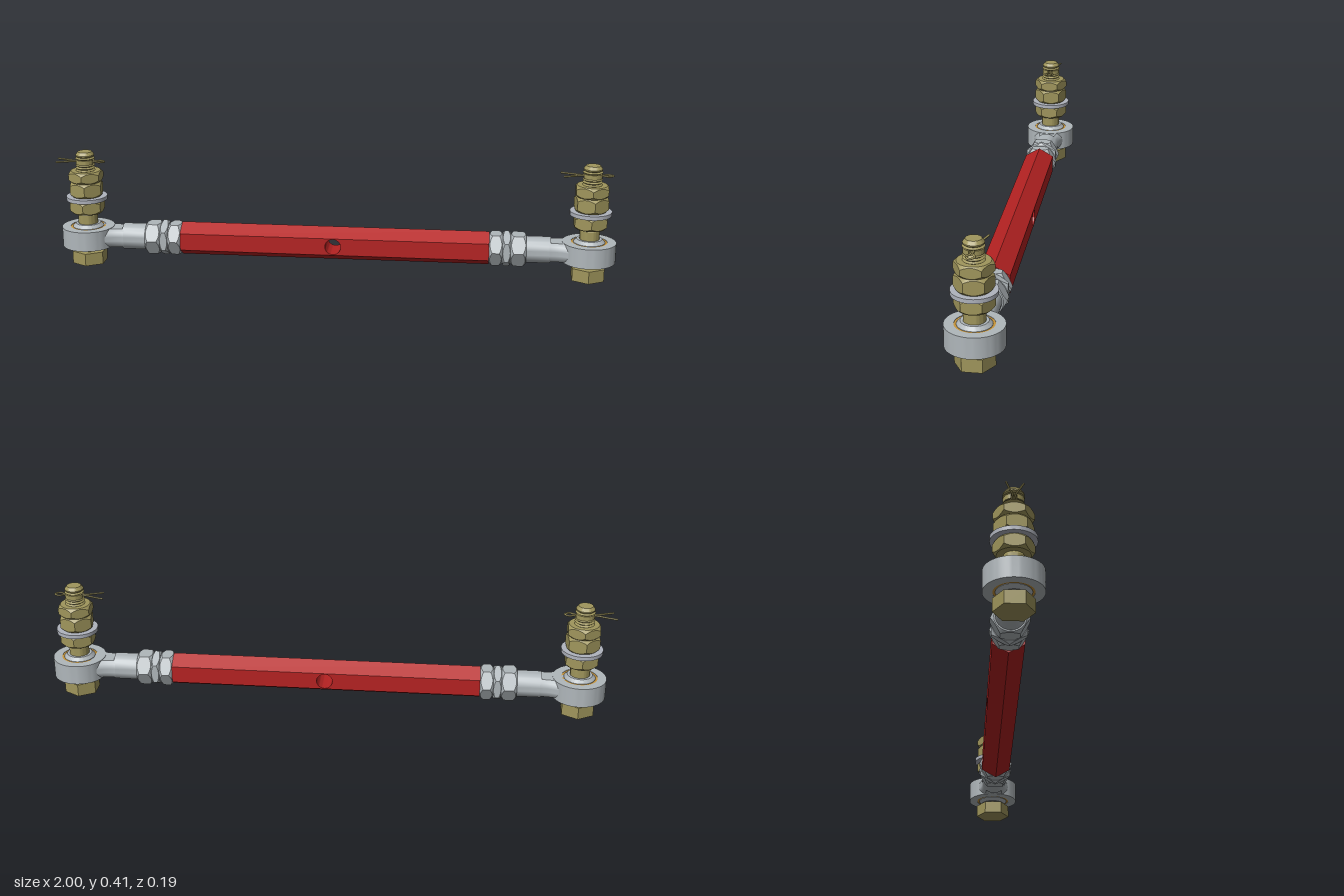
import * as THREE from 'three';
import { toCreasedNormals } from 'three/addons/utils/BufferGeometryUtils.js';

const material = (name, color) => {
  const m = new THREE.MeshStandardMaterial({ color });
  m.name = name;
  return m;
};
const AXIS_Y = 0.101;   // height of the rod axis
const CENTRE_X = 0.005;
const BOLT_X = 0.898;   // bolt distance from the middle

export function createModel() {
  const red = material('red paint', 0xb52222);
  const steel = material('steel', 0xb0b7bb);
  const washerSteel = material('washer steel', 0xb0b4be);
  const brass = material('yellow zinc', 0xa0965c);
  const bronze = material('bronze liner', 0xc8963c);

  const add = (parent, name, geometry, mat, x = 0, y = 0, z = 0) => {
    const mesh = new THREE.Mesh(geometry, mat);
    mesh.name = name;
    mesh.position.set(x, y, z);
    parent.add(mesh);
    return mesh;
  };

  const lathe = (points, segments = 48) => toCreasedNormals(
    new THREE.LatheGeometry(points.map(([r, y]) => new THREE.Vector2(r, y)), segments), 0.5);

  // Hex nut about y, corners on z, with conical chamfers on both faces
  const nutGeometry = (R, h, rc = R * 0.82, k = 1) => {
    const g = new THREE.CylinderGeometry(R, R, h, 48, 3);
    const p = g.attributes.position;
    for (let i = 0; i < p.count; i++) {
      const x = p.getX(i), y = p.getY(i), z = p.getZ(i);
      if (Math.hypot(x, z) < 1e-6) continue;
      const a = Math.atan2(x, z), sixth = Math.PI / 3;
      const local = a - (Math.floor(a / sixth + 1e-6) + 0.5) * sixth;
      const onFace = Math.abs(y) > h / 2 - 1e-5;
      const r = onFace ? rc : R * Math.cos(Math.PI / 6) / Math.cos(local);
      const ny = onFace ? y : Math.sign(y) * (h / 2 - Math.max(0, r - rc) * k);
      p.setXYZ(i, Math.sin(a) * r, ny, Math.cos(a) * r);
    }
    return toCreasedNormals(g, 0.5);
  };

  // Hexagonal sleeve: a drilled slab with a ridge above and below
  const makeSleeve = () => {
    const sleeve = new THREE.Group();
    sleeve.name = 'hexSleeve';
    const L = 0.55, R = 0.061, flat = R * Math.cos(Math.PI / 6);
    const slab = new THREE.Shape();
    slab.moveTo(-L, -R / 2).lineTo(L, -R / 2).lineTo(L, R / 2).lineTo(-L, R / 2).closePath();
    const hole = new THREE.Path();
    hole.absarc(0, 0, 0.028, 0, Math.PI * 2, true);
    slab.holes.push(hole);
    const slabGeometry = new THREE.ExtrudeGeometry(slab, { depth: 2 * flat, bevelEnabled: false, curveSegments: 24 });
    slabGeometry.translate(0, 0, -flat);
    add(sleeve, 'drilledSlab', toCreasedNormals(slabGeometry, 0.5), red);

    const wedge = new THREE.Shape();
    wedge.moveTo(-flat, R / 2).lineTo(flat, R / 2).lineTo(0, R).closePath();
    const wedgeGeometry = new THREE.ExtrudeGeometry(wedge, { depth: 2 * L, bevelEnabled: false });
    wedgeGeometry.translate(0, 0, -L).rotateY(Math.PI / 2);
    add(sleeve, 'upperRidge', wedgeGeometry, red);
    add(sleeve, 'lowerRidge', wedgeGeometry, red).rotation.x = Math.PI;
    return sleeve;
  };

  // Rod end pointing along +x: locknuts, shank, eye and ball
  const makeRodEnd = () => {
    const end = new THREE.Group();
    end.name = 'rodEnd';
    const sideways = (name, geometry, x) => {
      add(end, name, geometry, steel, x).rotation.z = -Math.PI / 2;
    };
    sideways('innerLocknut', nutGeometry(0.063, 0.047), 0.5735);
    sideways('lockCollar', nutGeometry(0.066, 0.028, 0.056, 0.8).rotateY(Math.PI / 6), 0.611);
    sideways('outerLocknut', nutGeometry(0.063, 0.055), 0.6525);
    sideways('shank', toCreasedNormals(new THREE.CylinderGeometry(0.047, 0.047, 0.09, 36), 0.5), 0.72);

    // Neck: round bar flattened top and bottom, flaring towards the eye
    const neck = new THREE.CylinderGeometry(0.047, 0.047, 0.09, 36, 8, true);
    neck.rotateZ(-Math.PI / 2).translate(0.805, 0, 0);
    const p = neck.attributes.position;
    for (let i = 0; i < p.count; i++) {
      const t = Math.max(0, (p.getX(i) - 0.77) / 0.08);
      p.setY(i, THREE.MathUtils.clamp(p.getY(i), -0.034, 0.034));
      p.setZ(i, p.getZ(i) * (1 + 0.55 * t * t));
    }
    add(end, 'neck', toCreasedNormals(neck, 0.5), steel);

    add(end, 'eye', lathe([[0.063, -0.0355], [0.094, -0.0355], [0.094, 0.0355],
      [0.063, 0.0355], [0.063, -0.0355]], 64), steel, BOLT_X);
    add(end, 'liner', lathe([[0.054, -0.034], [0.0635, -0.034], [0.0635, 0.034],
      [0.054, 0.034], [0.054, -0.034]]), bronze, BOLT_X);
    add(end, 'ball', lathe([[0.03, -0.047], [0.044, -0.047], [0.055, -0.0355], [0.0575, 0],
      [0.055, 0.0355], [0.044, 0.047], [0.03, 0.047]]), steel, BOLT_X);
    return end;
  };

  // Upright bolt with its nuts, washer and split pin
  const makeBolt = () => {
    const bolt = new THREE.Group();
    bolt.name = 'boltAssembly';
    add(bolt, 'boltHead', new THREE.CylinderGeometry(0.064, 0.064, 0.045, 6).toNonIndexed(), brass, 0, 0.0225)
      .geometry.computeVertexNormals();
    add(bolt, 'boltShank', lathe([[0, 0.04], [0.035, 0.04], [0.035, 0.181], [0.031, 0.188], [0.031, 0.346], [0, 0.346]]), brass);
    add(bolt, 'lowerNut', nutGeometry(0.064, 0.048), brass, 0, 0.212);
    add(bolt, 'washer', toCreasedNormals(new THREE.CylinderGeometry(0.073, 0.073, 0.014, 48), 0.5), washerSteel, 0, 0.243);
    add(bolt, 'middleNut', nutGeometry(0.063, 0.053), brass, 0, 0.2765).rotation.y = 0.14;
    add(bolt, 'upperNut', nutGeometry(0.064, 0.041), brass, 0, 0.3235);

    // Threaded end, split around the cross hole
    const thread = (y0, y1, turns) => {
      const pts = [[0, y0]], step = (y1 - y0) / turns;
      for (let i = 0; i < turns; i++) {
        pts.push([0.028, y0 + i * step], [0.0345, y0 + (i + 0.5) * step]);
      }
      pts.push([0.028, y1]);
      return pts;
    };
    add(bolt, 'lowerThread', lathe([...thread(0.34, 0.369, 3), [0, 0.369]]), brass);
    add(bolt, 'upperThread', lathe([...thread(0.385, 0.394, 1), [0.033, 0.398], [0.033, 0.402],
      [0.025, 0.413], [0, 0.413]]), brass);
    const half = new THREE.Shape();
    half.absarc(0, 0, 0.033, 0.27, Math.PI - 0.27, false);
    half.closePath();
    const halfGeometry = new THREE.ExtrudeGeometry(half, { depth: 0.016, bevelEnabled: false, curveSegments: 20 });
    halfGeometry.rotateX(-Math.PI / 2);
    for (const turn of [0, Math.PI]) {
      add(bolt, 'crossHoleWall', toCreasedNormals(halfGeometry, 0.5), brass, 0, 0.369).rotation.y = turn;
    }

    // Split pin with splayed legs on -x and a loop on +x
    const path = new THREE.CatmullRomCurve3([[-0.106, -0.027], [-0.075, -0.017], [-0.04, -0.005], [0.035, -0.004],
      [0.053, -0.013], [0.07, 0], [0.053, 0.013], [0.035, 0.004], [-0.04, 0.005], [-0.07, 0.015], [-0.098, 0.025],
    ].map(([x, z]) => new THREE.Vector3(x, 0, z)));
    add(bolt, 'splitPin', new THREE.TubeGeometry(path, 80, 0.0033, 8), brass, 0, 0.377);
    for (const t of [0, 1]) {
      const tip = path.getPoint(t);
      add(bolt, 'splitPinTip', new THREE.SphereGeometry(0.0033, 8, 6), brass, tip.x, 0.377, tip.z);
    }
    return bolt;
  };

  const model = new THREE.Group();
  model.name = 'adjustableLinkRod';
  const sleeve = makeSleeve();
  sleeve.position.set(CENTRE_X, AXIS_Y, 0);
  model.add(sleeve);
  for (const side of [1, -1]) {
    const end = makeRodEnd();
    end.name = side > 0 ? 'leftRodEnd' : 'rightRodEnd';
    end.position.set(CENTRE_X, AXIS_Y, 0);
    end.rotation.y = side > 0 ? 0 : Math.PI;
    const bolt = makeBolt();
    bolt.name = side > 0 ? 'leftBolt' : 'rightBolt';
    bolt.position.x = CENTRE_X + side * BOLT_X;
    model.add(end, bolt);
  }
  return model;
}
